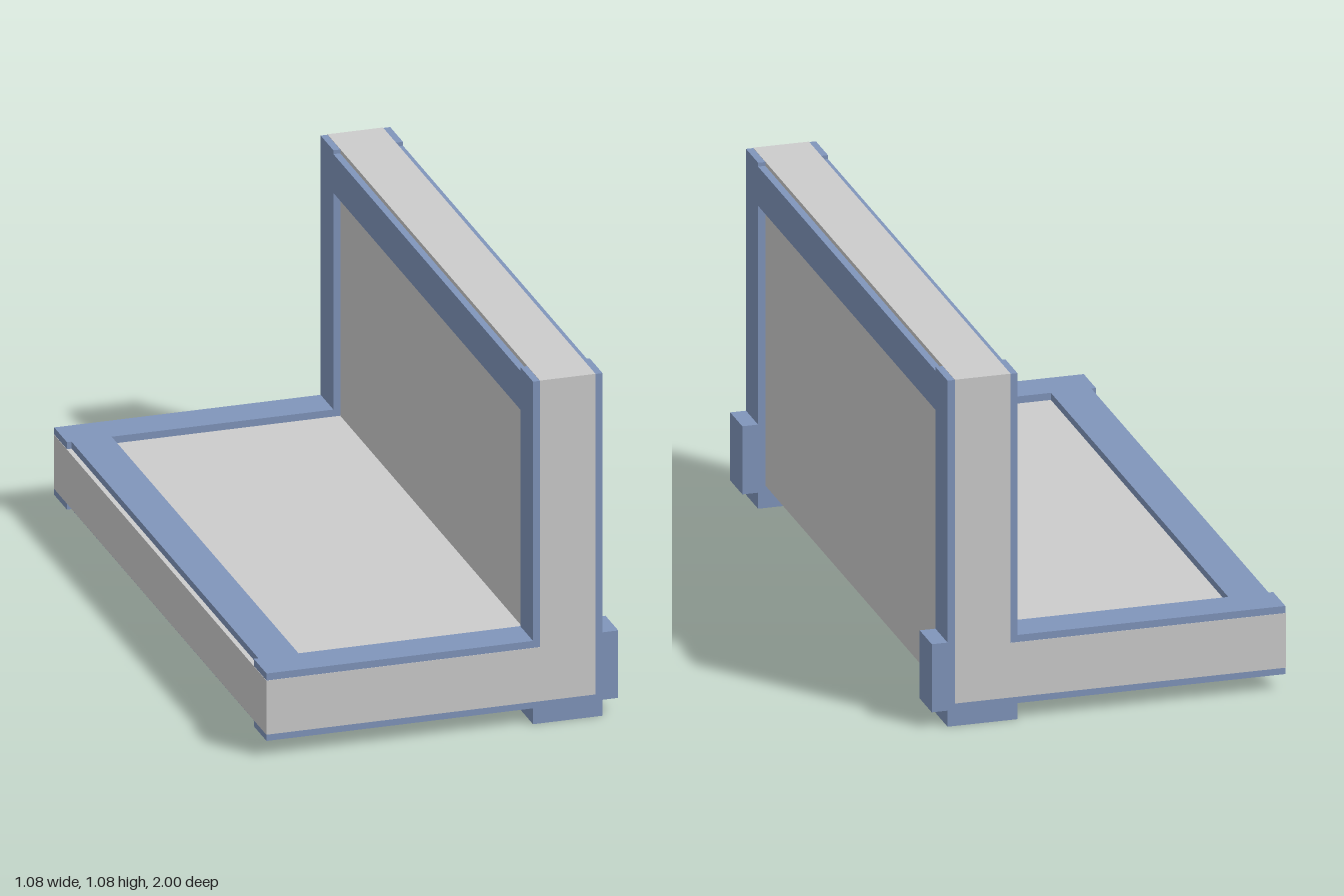
import * as THREE from 'three';

export function createModel() {
  const model = new THREE.Group();
  const grey = new THREE.MeshStandardMaterial({ color: 0xcccccc });
  const blue = new THREE.MeshStandardMaterial({ color: 0x8095bb });
  const halfLength = 1, inner = 0.88, proud = 0.001;

  function box(name, x0, x1, y0, y1, z0, z1) {
    const mesh = new THREE.Mesh(new THREE.BoxGeometry(x1 - x0, y1 - y0, z1 - z0), blue);
    mesh.position.set((x0 + x1) / 2, (y0 + y1) / 2, (z0 + z1) / 2);
    mesh.name = name;
    model.add(mesh);
  }

  // L-shaped seat and back padding, a hair proud of the frame ends
  const profile = new THREE.Shape([
    [-0.539 - proud, 0.07], [0.468, 0.07], [0.468, 1.077 + proud],
    [0.298, 1.077 + proud], [0.298, 0.24], [-0.539 - proud, 0.24],
  ].map(([x, y]) => new THREE.Vector2(x, y)));
  const depth = 2 * (halfLength + proud);
  const padding = new THREE.ExtrudeGeometry(profile, { depth, bevelEnabled: false });
  padding.translate(0, 0, -depth / 2);
  const cushions = new THREE.Mesh(padding, grey);
  cushions.name = 'seatAndBackPadding';
  model.add(cushions);

  // End frames: a seat beam crossing an upright post that forms the foot
  for (const [side, z0, z1] of [['front', inner, halfLength], ['rear', -halfLength, -inner]]) {
    box(side + 'SeatBeam', -0.539, 0.538, 0.05, 0.262, z0, z1);
    box(side + 'PostLower', 0.277, 0.49, 0, 0.05, z0, z1);
    box(side + 'PostUpper', 0.277, 0.49, 0.262, 1.077, z0, z1);
  }

  // Long rails joining the end frames
  box('seatRail', -0.525, -0.402, 0.05, 0.262, -inner, inner);
  box('backRail', 0.277, 0.49, 0.943, 1.065, -inner, inner);

  return model;
}
